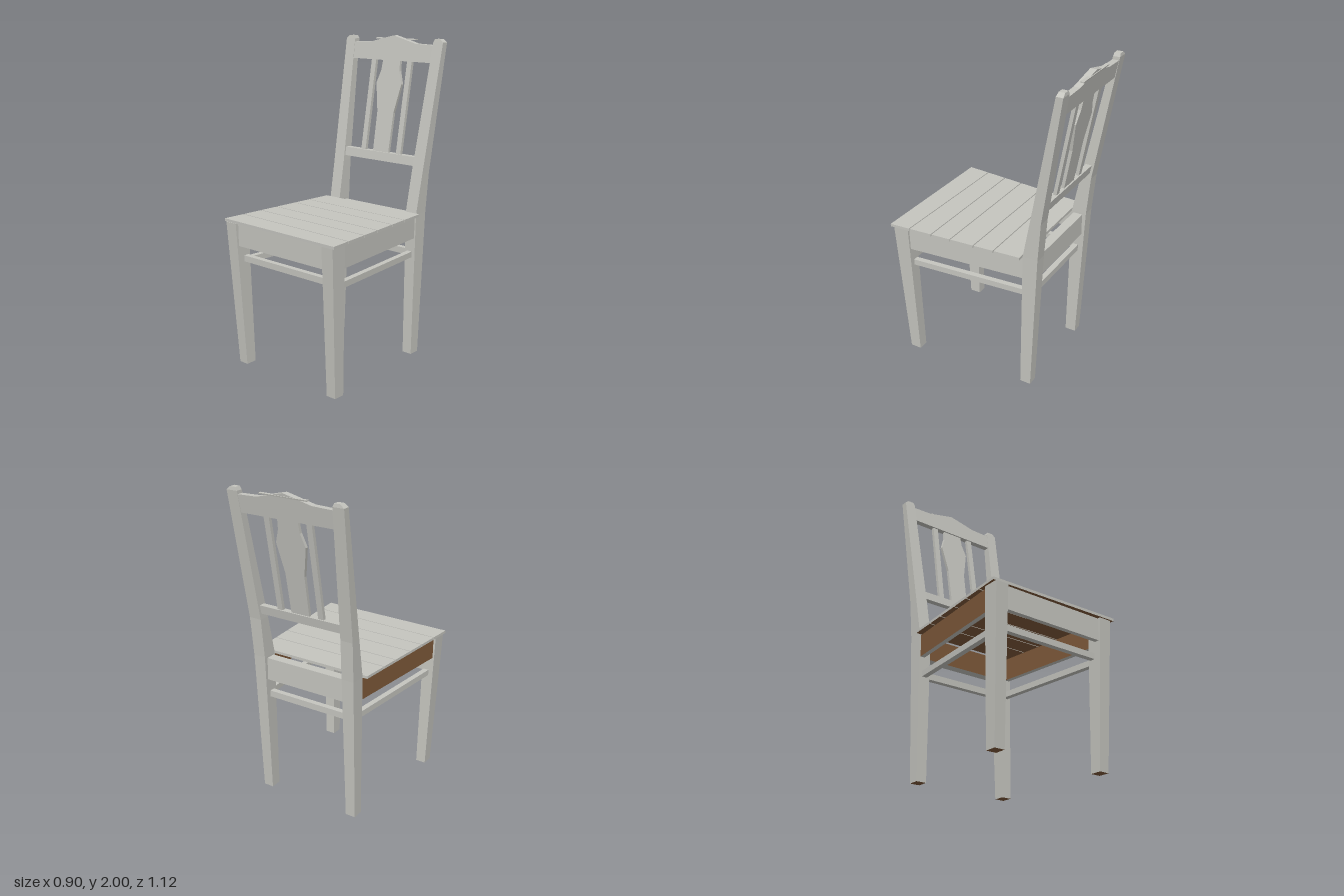
import * as THREE from 'three';

const grey = new THREE.MeshStandardMaterial({ color: 0xc5c5bf, side: THREE.DoubleSide });
grey.name = 'grey paint';
const brown = new THREE.MeshStandardMaterial({ color: 0x7f5a3a, side: THREE.DoubleSide });
brown.name = 'bare wood';

// Faces of a lofted bar: sides 0-3, then bottom (4) and top (5).
// Each section is { y, pts }, four [x, z] corners, counter-clockwise from above.
function loft(sections, brownFaces = []) {
  const pos = [], geo = new THREE.BufferGeometry();
  const p = (s, i) => [s.pts[i % 4][0], s.y, s.pts[i % 4][1]];
  const quad = (a, b, c, d, face) => {
    geo.addGroup(pos.length / 3, 6, brownFaces.includes(face) ? 1 : 0);
    pos.push(...a, ...b, ...c, ...a, ...c, ...d);
  };
  for (let k = 0; k + 1 < sections.length; k++) {
    const s = sections[k], t = sections[k + 1];
    for (let i = 0; i < 4; i++) quad(p(s, i), p(s, i + 1), p(t, i + 1), p(t, i), i);
  }
  const lo = sections[0], hi = sections[sections.length - 1];
  quad(p(lo, 3), p(lo, 2), p(lo, 1), p(lo, 0), 4);
  quad(p(hi, 0), p(hi, 1), p(hi, 2), p(hi, 3), 5);
  geo.setAttribute('position', new THREE.Float32BufferAttribute(pos, 3));
  geo.computeVertexNormals();
  return geo;
}

// Rectangular section; side = -1 mirrors it across x
function rect(y, xIn, xOut, zBack, zFront, side = 1) {
  const x0 = Math.min(side * xIn, side * xOut), x1 = Math.max(side * xIn, side * xOut);
  return { y, pts: [[x0, zFront], [x1, zFront], [x1, zBack], [x0, zBack]] };
}

// Upright board with a given plan outline
const prism = (pts, y0, y1, brownFaces) => loft([{ y: y0, pts }, { y: y1, pts }], brownFaces);

// Depth of the leaning back's centre plane
const lean = y => -0.405 - 0.177 * (y - 1.25);

// Front outline extruded and sheared to follow the lean
function leaningBoard(outline, depth) {
  const shape = new THREE.Shape(outline.map(([x, y]) => new THREE.Vector2(x, y)));
  const geo = new THREE.ExtrudeGeometry(shape, { depth, bevelEnabled: false });
  geo.translate(0, 0, -depth / 2);
  const a = geo.attributes.position;
  for (let i = 0; i < a.count; i++) a.setZ(i, a.getZ(i) + lean(a.getY(i)));
  geo.computeVertexNormals();
  return geo;
}

export function createModel() {
  const chair = new THREE.Group();
  chair.name = 'chair';
  const add = (name, geo, material = [grey, brown]) => {
    const mesh = new THREE.Mesh(geo, material);
    mesh.name = name;
    chair.add(mesh);
  };

  for (const side of [-1, 1]) {
    const label = side > 0 ? 'left' : 'right';

    // Tapered front leg
    add(label + 'FrontLeg', loft([
      rect(0, 0.335, 0.4, 0.426, 0.497, side),
      rect(0.92, 0.347, 0.43, 0.447, 0.55, side),
    ], [4]));

    // Back leg running up into the leaning post
    add(label + 'BackPost', loft([
      rect(0, 0.28, 0.345, -0.37, -0.3, side),
      rect(0.93, 0.275, 0.355, -0.41, -0.313, side),
      rect(1.18, 0.28, 0.361, -0.43, -0.361, side),
      rect(1.97, 0.312, 0.384, -0.554, -0.511, side),
      rect(1.99, 0.322, 0.36, -0.552, -0.515, side),
    ], [4]));

    // Side apron and stretcher, widening towards the front
    const bar = (xBack, xFront, thick) => {
      const pts = [[xFront - thick, 0.47], [xFront, 0.47], [xBack, -0.33], [xBack - thick, -0.33]];
      return side > 0 ? pts : pts.map(([x, z]) => [-x, z]).reverse();
    };
    // Mirroring by reversal keeps the inner face at index 3 on the left, 1 on the right
    const inner = side > 0 ? 3 : 1;
    add(label + 'Apron', prism(bar(0.343, 0.417, 0.03), 0.775, 0.918, [inner]));
    add(label + 'Stretcher', prism(bar(0.328, 0.393, 0.035), 0.648, 0.685));

    // Slim upright slat beside the splat
    add(label + 'Slat', leaningBoard([
      [side * 0.142 - 0.018, 1.25], [side * 0.142 + 0.018, 1.25],
      [side * 0.142 + 0.018, 1.87], [side * 0.142 - 0.018, 1.87],
    ], 0.022), grey);
  }

  // Front and back aprons and stretchers
  add('frontApron', prism(rect(0, -0.36, 0.36, 0.5, 0.53).pts, 0.778, 0.92, [2]));
  add('backApron', prism(rect(0, -0.29, 0.29, -0.385, -0.325).pts, 0.775, 0.918, [0]));
  add('frontStretcher', prism(rect(0, -0.355, 0.355, 0.455, 0.49).pts, 0.672, 0.71));
  add('backStretcher', prism(rect(0, -0.3, 0.3, -0.365, -0.33).pts, 0.65, 0.69));

  // Seat planks with slightly skewed joints: [z at -x edge, z at +x edge]
  const joints = [[-0.31, -0.31], [-0.141, -0.139], [-0.02, -0.008], [0.136, 0.148],
    [0.265, 0.277], [0.403, 0.428], [0.546, 0.56]];
  const halfWidth = z => 0.383 + (z + 0.31) * 0.075;
  for (let i = 0; i < 6; i++) {
    const [bl, br] = joints[i].map(z => z + 0.003);
    const [fl, fr] = joints[i + 1].map(z => z - (i < 5 ? 0.003 : 0));
    add('seatPlank' + (i + 1), prism([
      [-halfWidth(fl), fl], [halfWidth(fr), fr], [halfWidth(br), br], [-halfWidth(bl), bl],
    ], 0.92, 0.937, [4]));
  }

  // Lower back rail
  add('lowerBackRail', leaningBoard(
    [[-0.3, 1.215], [0.3, 1.215], [0.3, 1.27], [-0.3, 1.27]], 0.04), grey);

  // Vase-shaped central splat
  const half = [[0.062, 1.25], [0.065, 1.52], [0.1, 1.7], [0.073, 1.78], [0.066, 1.87]];
  add('splat', leaningBoard(
    [...half, ...half.map(([x, y]) => [-x, y]).reverse()], 0.02), grey);

  // Crest rail, peaked in the middle
  add('crestRail', leaningBoard([
    [-0.33, 1.845], [0.33, 1.845], [0.33, 1.95], [0.18, 1.955], [0.05, 1.988],
    [0, 2.0], [-0.05, 1.988], [-0.18, 1.955], [-0.33, 1.95],
  ], 0.04), grey);

  // Thin strip lying along the back of the crest
  add('crestStrip', loft([
    rect(1.975, -0.155, 0.16, -0.558, -0.535),
    rect(1.982, -0.155, 0.16, -0.56, -0.537),
  ]));

  return chair;
}
